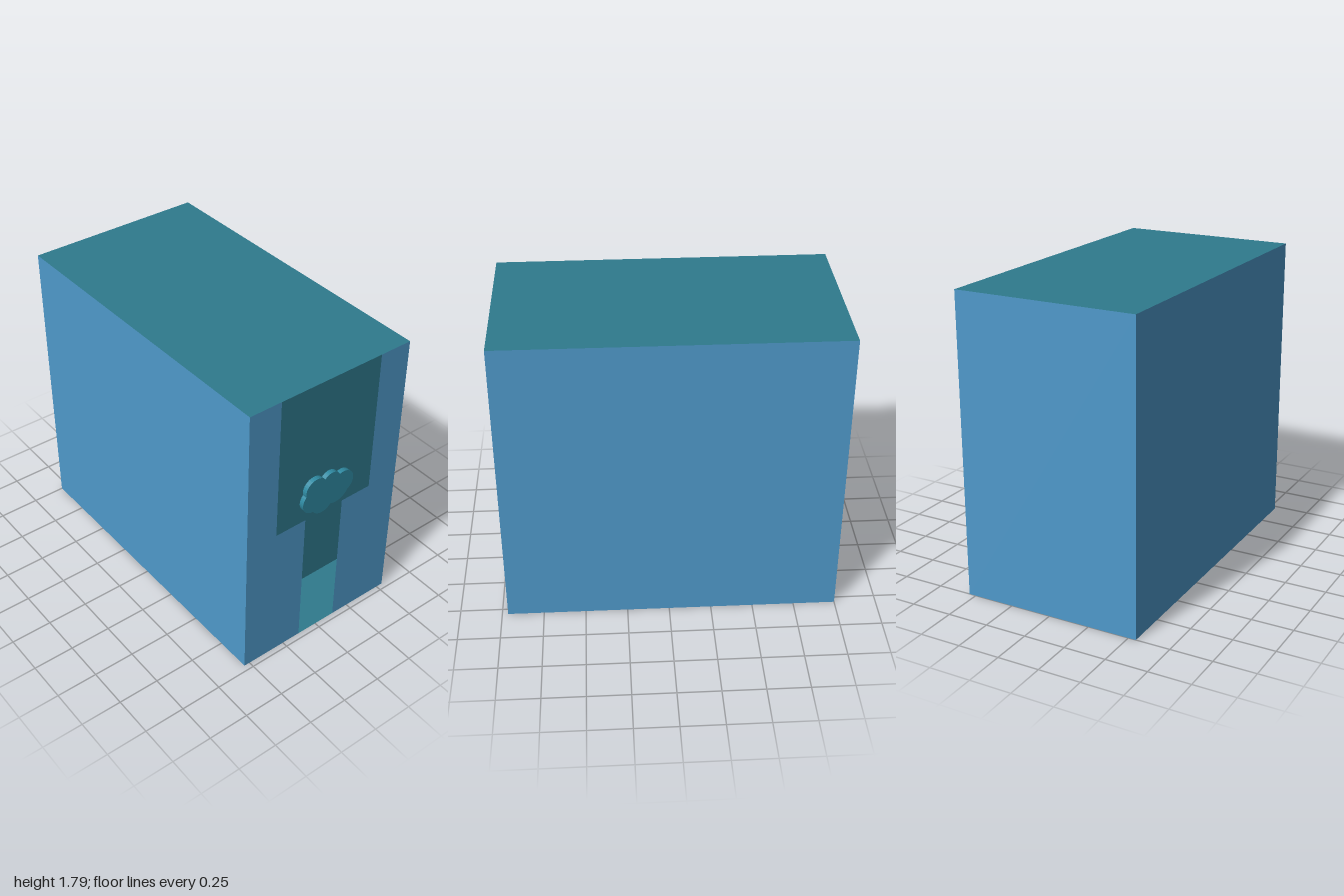
import * as THREE from 'three';

const H = 1.795, FRONT = 0.965, BACK = -1;
// plan corners: the -x wall leans in slightly toward the front
const FL = [-0.537, FRONT], FR = [0.543, FRONT], BR = [0.543, BACK], BL = [-0.546, BACK];

const material = (color) => new THREE.MeshStandardMaterial({ color, side: THREE.DoubleSide });
const blue = material(0x4f9acb), teal = material(0x2f7a8d);
const cloudTeal = material(0x2f8aa2), red = material(0xdb5036);

function add(group, name, geometry, mat) {
  const mesh = new THREE.Mesh(geometry, mat);
  mesh.name = name;
  group.add(mesh);
  return mesh;
}

// Flat four-cornered sheet, corners anticlockwise seen from outside
function quad(a, b, c, d) {
  const g = new THREE.BufferGeometry();
  g.setAttribute('position', new THREE.Float32BufferAttribute([...a, ...b, ...c, ...d], 3));
  g.setIndex([0, 1, 2, 0, 2, 3]);
  g.computeVertexNormals();
  return g;
}
const wall = (p, q) => quad([p[0], 0, p[1]], [q[0], 0, q[1]], [q[0], H, q[1]], [p[0], H, p[1]]);
const at = (p, y) => [p[0], y, p[1]];

const outline = (points) => new THREE.Shape(points.map(([x, y]) => new THREE.Vector2(x, y)));

// Closed outline of circular lobes: each entry is a start point and the bulge height to the next
function lobedShape(lobes) {
  const points = [];
  lobes.forEach(([x0, y0, s], i) => {
    const [x1, y1] = lobes[(i + 1) % lobes.length];
    const c = Math.hypot(x1 - x0, y1 - y0), dx = (x1 - x0) / c, dy = (y1 - y0) / c;
    const r = (c * c / 4 + s * s) / (2 * s), half = 2 * Math.atan(2 * s / c);
    for (let k = 0; k < 14; k++) {
      const a = half * (2 * k / 14 - 1);
      const along = c / 2 + r * Math.sin(a), out = r * Math.cos(a) - (r - s);
      points.push([x0 + dx * along - dy * out, y0 + dy * along + dx * out]);
    }
  });
  return outline(points);
}

export function createModel() {
  const model = new THREE.Group();
  model.name = 'building';

  // Hollow shell
  add(model, 'rightWall', wall(BL, FL), blue);
  add(model, 'leftWall', wall(FR, BR), blue);
  add(model, 'backWall', wall(BR, BL), blue);
  add(model, 'roof', quad(at(FL, H), at(FR, H), at(BR, H), at(BL, H)), teal);
  add(model, 'floor', quad(at(BL, 0), at(BR, 0), at(FR, 0), at(FL, 0)), teal);

  // Front wall, stepped around the doorway and the teal panel
  const d0 = -0.13, d1 = 0.137, p0 = -0.335, p1 = 0.34, step = 0.9, door = 0.45;
  add(model, 'frontWall', new THREE.ShapeGeometry([
    outline([[FL[0], 0], [d0, 0], [d0, step], [p0, step], [p0, H], [FL[0], H]]),
    outline([[d1, 0], [FR[0], 0], [FR[0], H], [p1, H], [p1, step], [d1, step]]),
  ]), blue).position.z = FRONT;
  add(model, 'frontPanel', new THREE.ShapeGeometry(
    outline([[d0, door], [d1, door], [d1, step], [p1, step], [p1, H], [p0, H], [p0, step], [d0, step]]),
  ), teal).position.z = FRONT;

  // Cloud plaque above the doorway
  const cloud = lobedShape([
    [-0.165, 1.105, 0.06], [-0.035, 1.165, 0.03], [0.07, 1.15, 0.07],
    [0.135, 1.01, 0.025], [0.015, 0.97, 0.033], [-0.11, 0.975, 0.045],
  ]);
  add(model, 'cloudPlaque', new THREE.ExtrudeGeometry(cloud, { depth: 0.028, bevelEnabled: false }), cloudTeal)
    .position.z = 0.972;

  // Low red counter inside, seen through the doorway
  add(model, 'counter', new THREE.BoxGeometry(0.6, 0.172, 0.25), red).position.set(0, 0.086, -0.55);

  return model;
}
